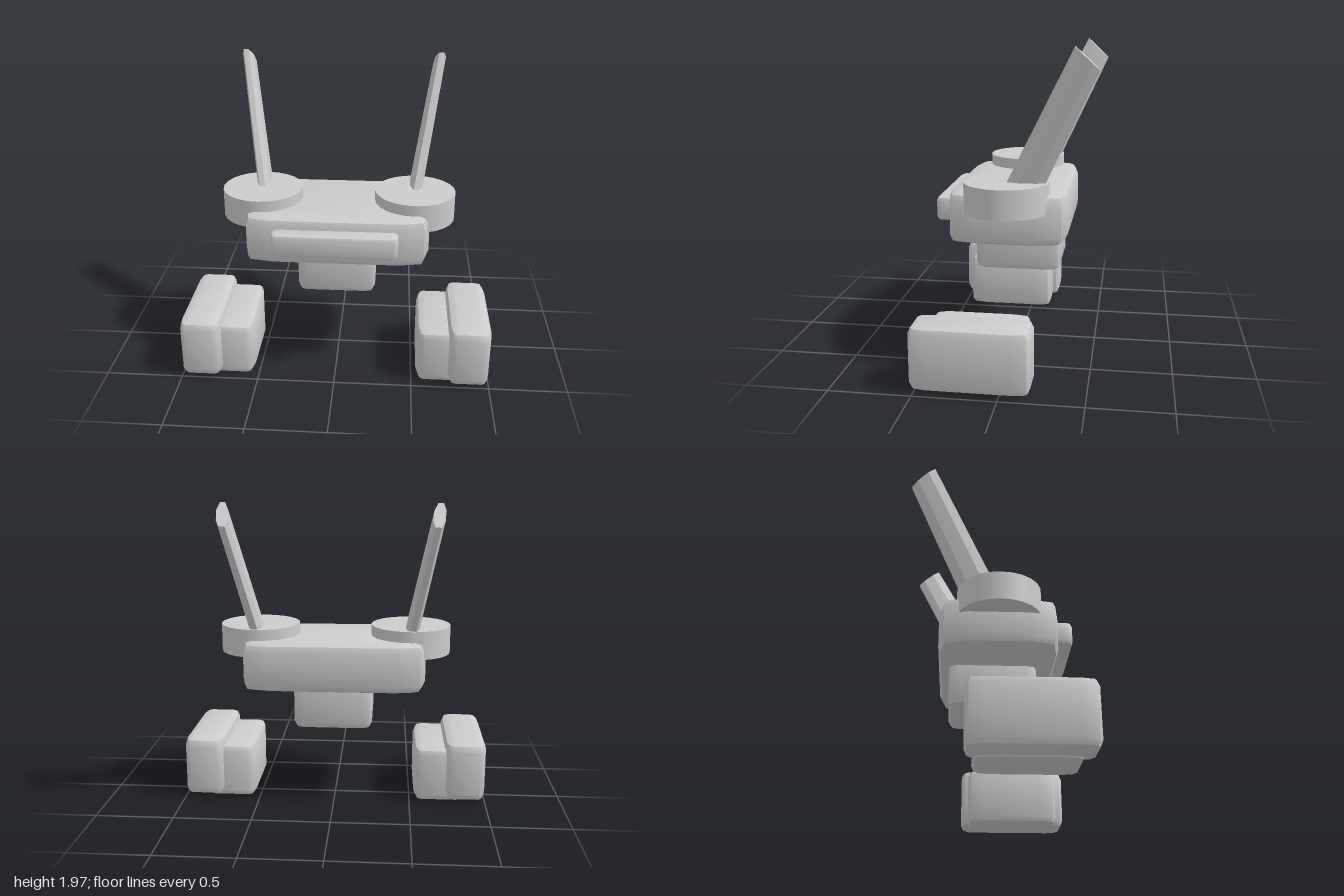
import * as THREE from 'three';
import { toCreasedNormals } from 'three/addons/utils/BufferGeometryUtils.js';
import { ConvexGeometry } from 'three/addons/geometries/ConvexGeometry.js';

const grey = new THREE.MeshStandardMaterial({ color: 0xcccccc });
grey.name = 'light grey';

function add(parent, name, geometry) {
  const mesh = new THREE.Mesh(geometry, grey);
  mesh.name = name;
  parent.add(mesh);
  return mesh;
}

// Soft-edged block: outline bowed near the corners, bevelled top and bottom.
// x, y, z are [min, max]; bevel rounds the rims; the corner runs from
// (cut, 0) to (edge, bow) to (0, side) measured inward from the box corner.
function softBlock(x, y, z, bevel, { cut, edge, bow, side }) {
  const hx = (x[1] - x[0]) / 2, hz = (z[1] - z[0]) / 2, h = y[1] - y[0];
  const quarter = [[hx, hz - side], [hx - edge, hz - bow], [hx - cut, hz]];
  const back = [...quarter].reverse();
  const outline = [
    ...quarter,
    ...back.map(([a, b]) => [-a, b]),
    ...quarter.map(([a, b]) => [-a, -b]),
    ...back.map(([a, b]) => [a, -b]),
  ].map(([a, b]) => new THREE.Vector2(a, b));
  const geo = new THREE.ExtrudeGeometry(new THREE.Shape(outline), {
    depth: h - 2 * bevel, bevelEnabled: true, bevelThickness: bevel,
    bevelSize: bevel, bevelOffset: -bevel, bevelSegments: 2,
  });
  geo.rotateX(-Math.PI / 2);
  geo.translate((x[0] + x[1]) / 2, y[0] + bevel, (z[0] + z[1]) / 2);
  return toCreasedNormals(geo, 0.6);
}

// Thin blade leaning back and outward, with chamfered long edges.
function bladeGeometry(s) {
  const section = [[0, 0.45], [0.3, 1], [0.75, 1], [1, 0.5]];
  const ends = [
    { front: [0.488, 1.1, 0.05], rear: [0.488, 1.1, -0.187], half: 0.042 },
    { front: [0.64, 1.97, -0.39], rear: [0.622, 1.84, -0.53], half: 0.035 },
  ];
  const points = [];
  for (const { front, rear, half } of ends) {
    for (const [t, k] of section) {
      const p = new THREE.Vector3(...front).lerp(new THREE.Vector3(...rear), t);
      for (const side of [-1, 1]) {
        points.push(new THREE.Vector3(s * (p.x + side * k * half), p.y, p.z));
      }
    }
  }
  return new ConvexGeometry(points);
}

export function createModel() {
  const model = new THREE.Group();
  model.name = 'model';

  // Central body, neck below and bar on the front
  add(model, 'body', softBlock([-0.585, 0.585], [0.79, 1.1], [-0.345, 0.385], 0.05,
    { cut: 0.19, edge: 0.035, bow: 0.03, side: 0.18 }));
  add(model, 'neck', softBlock([-0.25, 0.25], [0.535, 0.9], [-0.28, 0.265], 0.045,
    { cut: 0.06, edge: 0.015, bow: 0.015, side: 0.06 }));
  add(model, 'frontBar', softBlock([-0.39, 0.39], [0.885, 1.035], [0.28, 0.48], 0.025,
    { cut: 0.035, edge: 0.01, bow: 0.01, side: 0.035 }));

  // Mirrored parts: discs, blades and paired foot blocks
  for (const s of [1, -1]) {
    const label = s > 0 ? 'left' : 'right';
    const span = (a, b) => (s > 0 ? [a, b] : [-b, -a]);

    const disc = new THREE.CylinderGeometry(0.257, 0.257, 0.18, 24);
    add(model, label + 'Disc', disc).position.set(s * 0.492, 1.08, 0.02);
    add(model, label + 'Blade', bladeGeometry(s));

    const corner = { cut: 0.045, edge: 0.015, bow: 0.02, side: 0.1 };
    add(model, label + 'OuterFoot',
      softBlock(span(0.73, 1), [0.02, 0.415], [-0.185, 0.522], 0.05, corner));
    add(model, label + 'InnerFoot',
      softBlock(span(0.53, 0.86), [0, 0.362], [-0.14, 0.45], 0.04, corner));
  }
  return model;
}
